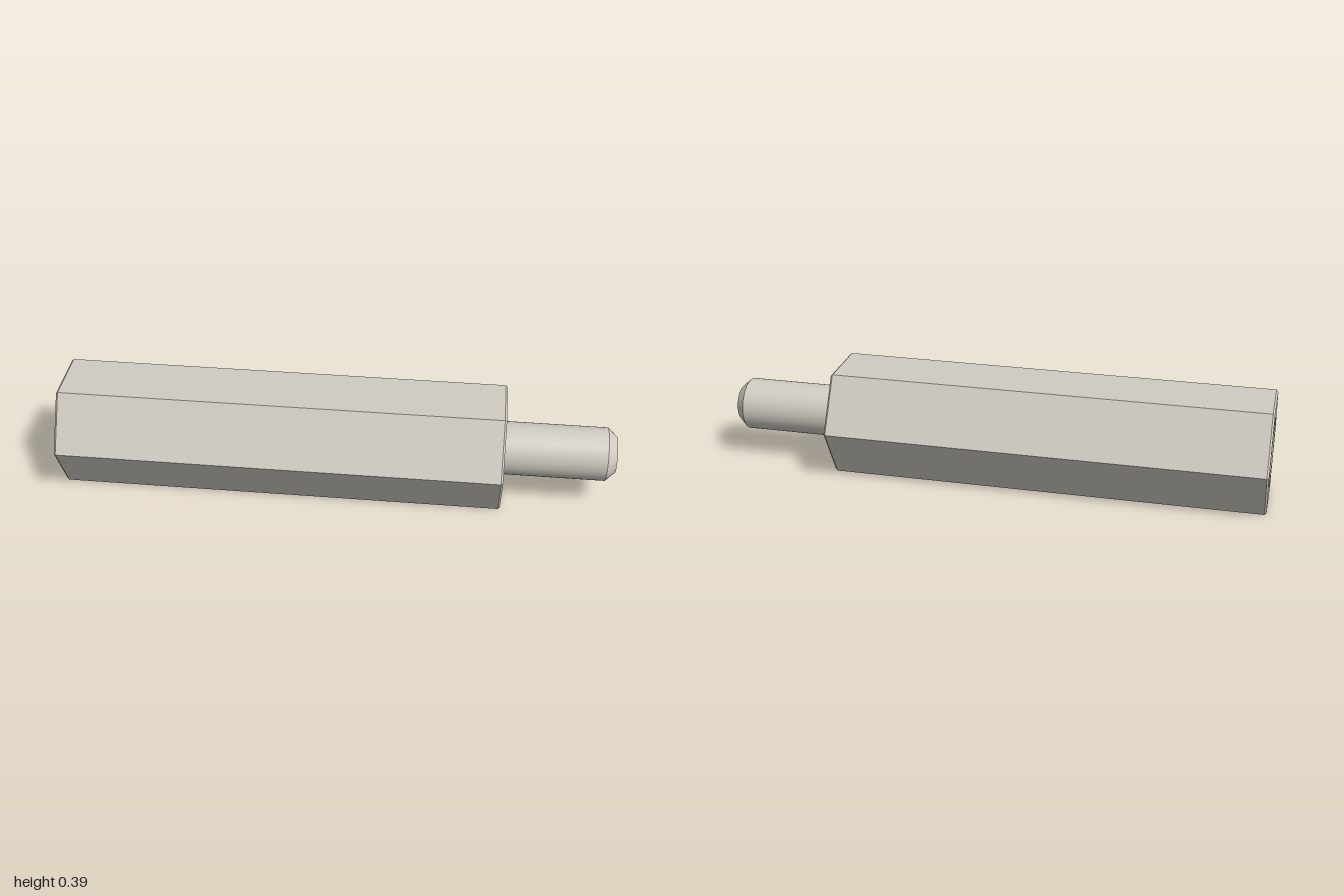
import * as THREE from 'three';
import { toCreasedNormals } from 'three/addons/utils/BufferGeometryUtils.js';

const HEX_R = 0.2223;     // centre to corner
const BODY_LEN = 1.587;
const STUD_LEN = 0.395;
const STUD_R = 0.095;
const CHAMFER = 0.007;
const SINK_R = 0.123;     // countersink mouth
const BORE_R = 0.08;

// Turned part whose axis lies along +x; profile points are [radius, x]
function turned(profile, sides) {
  const points = profile.map(([r, x]) => new THREE.Vector2(r, x));
  const geometry = new THREE.LatheGeometry(points, sides).rotateZ(-Math.PI / 2);
  return toCreasedNormals(geometry, Math.PI / 7);
}

export function createModel() {
  const steel = new THREE.MeshStandardMaterial({ color: 0xd0ccc2 });
  steel.name = 'warmGreySteel';

  const model = new THREE.Group();
  model.name = 'hexStandoff';
  const add = (name, geometry) => {
    const mesh = new THREE.Mesh(geometry, steel);
    mesh.name = name;
    model.add(mesh);
  };

  // Hexagonal body with small chamfers and a closed stud end
  const faceR = HEX_R - CHAMFER;
  add('hexBody', turned([
    [faceR, 0], [HEX_R, CHAMFER],
    [HEX_R, BODY_LEN - CHAMFER], [faceR, BODY_LEN], [0, BODY_LEN],
  ], 6));

  // Socket end face with its round opening
  const corners = Array.from({ length: 6 }, (_, i) => new THREE.Vector2(
    faceR * Math.cos(i * Math.PI / 3), faceR * Math.sin(i * Math.PI / 3)));
  const face = new THREE.Shape(corners);
  face.holes.push(new THREE.Path().absarc(0, 0, SINK_R, 0, Math.PI * 2, true));
  add('socketFace', new THREE.ShapeGeometry(face, 24).rotateY(-Math.PI / 2));

  // Countersunk blind bore, facing inwards
  add('socketBore', turned([
    [0, 0.65], [BORE_R, 0.6], [BORE_R, SINK_R - BORE_R], [SINK_R, 0],
  ], 48));

  // Round stud with chamfered tip
  const tip = BODY_LEN + STUD_LEN;
  add('stud', turned([
    [STUD_R, BODY_LEN], [STUD_R, tip - 0.034], [0.064, tip], [0, tip],
  ], 48));

  // Lies on a flat, turned slightly about the vertical
  model.rotation.y = -THREE.MathUtils.degToRad(12);
  model.position.set(-0.953, HEX_R * Math.cos(Math.PI / 6), -0.165);

  const root = new THREE.Group();
  root.name = 'standoff';
  root.add(model);
  return root;
}
